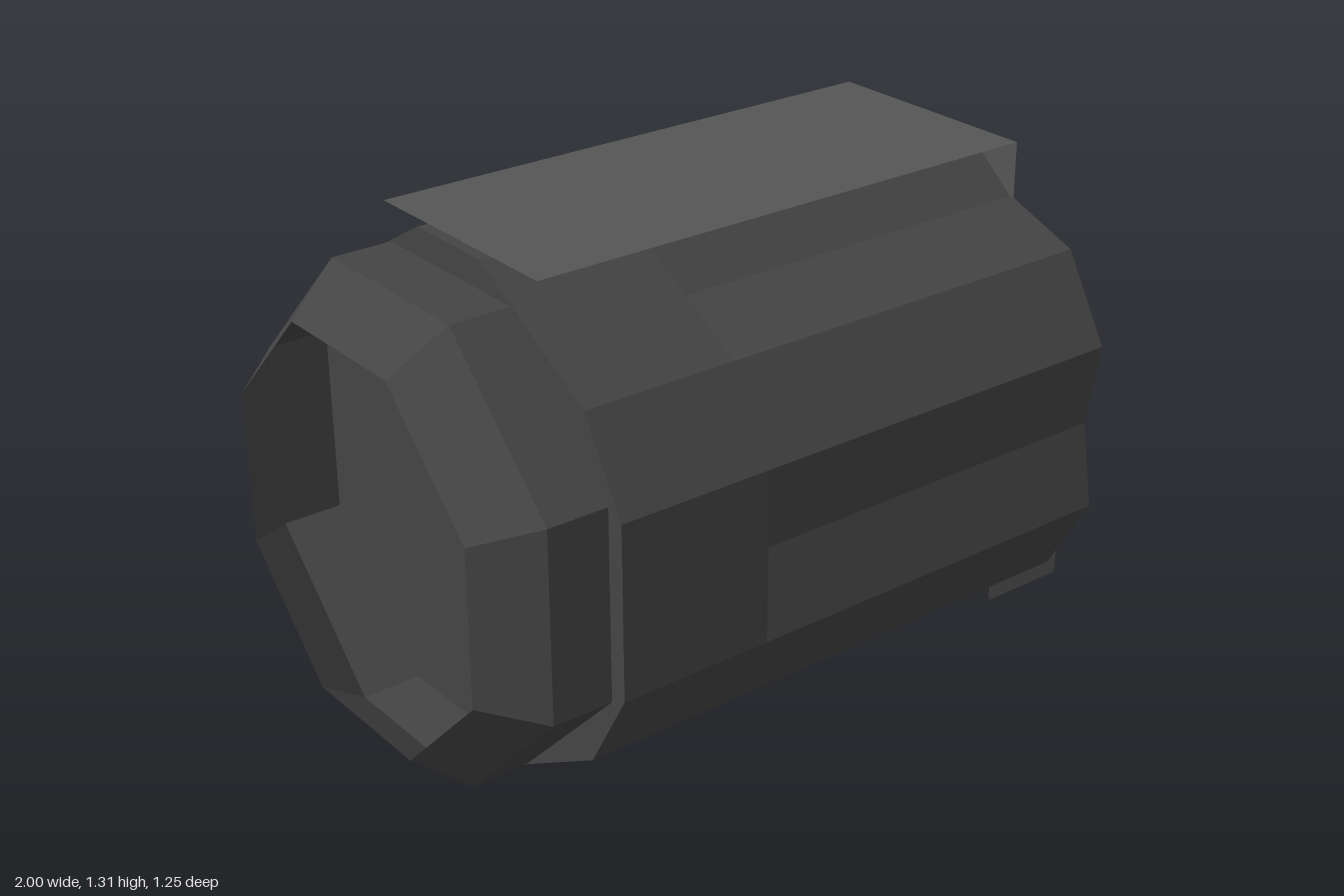
import * as THREE from 'three';

const CY = 0.652; // height of the long axis
const X_BACK = -0.71, X_FLUTE = -0.31, X_FRONT = 0.74;

const bodyMat = new THREE.MeshStandardMaterial({ color: 0x444444, flatShading: true, side: THREE.DoubleSide });
const plateMat = new THREE.MeshStandardMaterial({ color: 0x555555, flatShading: true, side: THREE.DoubleSide });

// Point at a radius and angle around the axis
const polar = (r, deg, cx = 0, cy = 0) => {
  const a = THREE.MathUtils.degToRad(deg);
  return new THREE.Vector2(cx + r * Math.cos(a), cy + r * Math.sin(a));
};

// Six-sided drum outline, with truncated corners and optional V flutes on the long sides
function drumOutline(fluted) {
  const pts = [];
  for (let i = 0; i < 6; i++) {
    const a = 30 + i * 60;
    pts.push(polar(0.663, a - 10.8), polar(0.663, a + 10.8));
    if (fluted) pts.push(polar(0.59, a + 30));
  }
  return new THREE.Shape(pts);
}

// Hexagonal bores, all turned the same way
function addChambers(shape) {
  for (let i = 0; i < 6; i++) {
    const c = polar(0.436, 30 + i * 60);
    const hex = [];
    for (let k = 0; k < 6; k++) hex.push(polar(0.204, -k * 60, c.x, c.y));
    shape.holes.push(new THREE.Path(hex));
  }
  return shape;
}

// Extrude a cross-section along x
function alongX(name, shape, x0, x1) {
  const geo = new THREE.ExtrudeGeometry(shape, { depth: x1 - x0, bevelEnabled: false });
  geo.rotateY(Math.PI / 2);
  geo.translate(x0, CY, 0);
  const mesh = new THREE.Mesh(geo, bodyMat);
  mesh.name = name;
  return mesh;
}

// Thin flat sheet
function sheet(name, geo, x, y, z) {
  const mesh = new THREE.Mesh(geo, plateMat);
  mesh.name = name;
  mesh.position.set(x, y, z);
  return mesh;
}

export function createModel() {
  const model = new THREE.Group();
  model.name = 'flutedDrum';

  // Drum: closed back, plain bored section, fluted bored section
  model.add(alongX('drumBack', drumOutline(false), X_BACK, -0.68));
  model.add(alongX('drumPlainSection', addChambers(drumOutline(false)), -0.68, X_FLUTE));
  model.add(alongX('drumFlutedSection', addChambers(drumOutline(true)), X_FLUTE, X_FRONT));

  // Open octagonal collar with a tapered rim; apothem converted to corner radius
  const k = 1 / Math.cos(Math.PI / 8);
  const profile = [[0.475, 1], [0.58, 0.865], [0.58, -X_BACK]]
    .map(([r, h]) => new THREE.Vector2(r * k, h)).reverse();
  const collarGeo = new THREE.LatheGeometry(profile, 8, Math.PI / 8);
  collarGeo.rotateZ(Math.PI / 2); // +y becomes -x
  const collar = new THREE.Mesh(collarGeo, bodyMat);
  collar.name = 'rearCollar';
  collar.position.y = CY;
  model.add(collar);

  // Top plate, lying flush with the top of the drum
  const top = new THREE.PlaneGeometry(1.42, 0.614).rotateX(-Math.PI / 2);
  model.add(sheet('topPlate', top, 0.025, 1.306, 0));

  // Upright plate just behind the drum's face
  const end = new THREE.PlaneGeometry(0.614, 1.006).rotateY(Math.PI / 2);
  model.add(sheet('endPlate', end, 0.735, 0.803, 0));

  // Fin reaching out from the end at the lower front
  const fin = new THREE.Shape([[0.735, 0.42], [0.735, 0.015], [0.985, 0.015], [1, 0.295]]
    .map(([x, y]) => new THREE.Vector2(x, y)));
  model.add(sheet('sideFin', new THREE.ShapeGeometry(fin), 0, 0, 0.307));

  return model;
}
